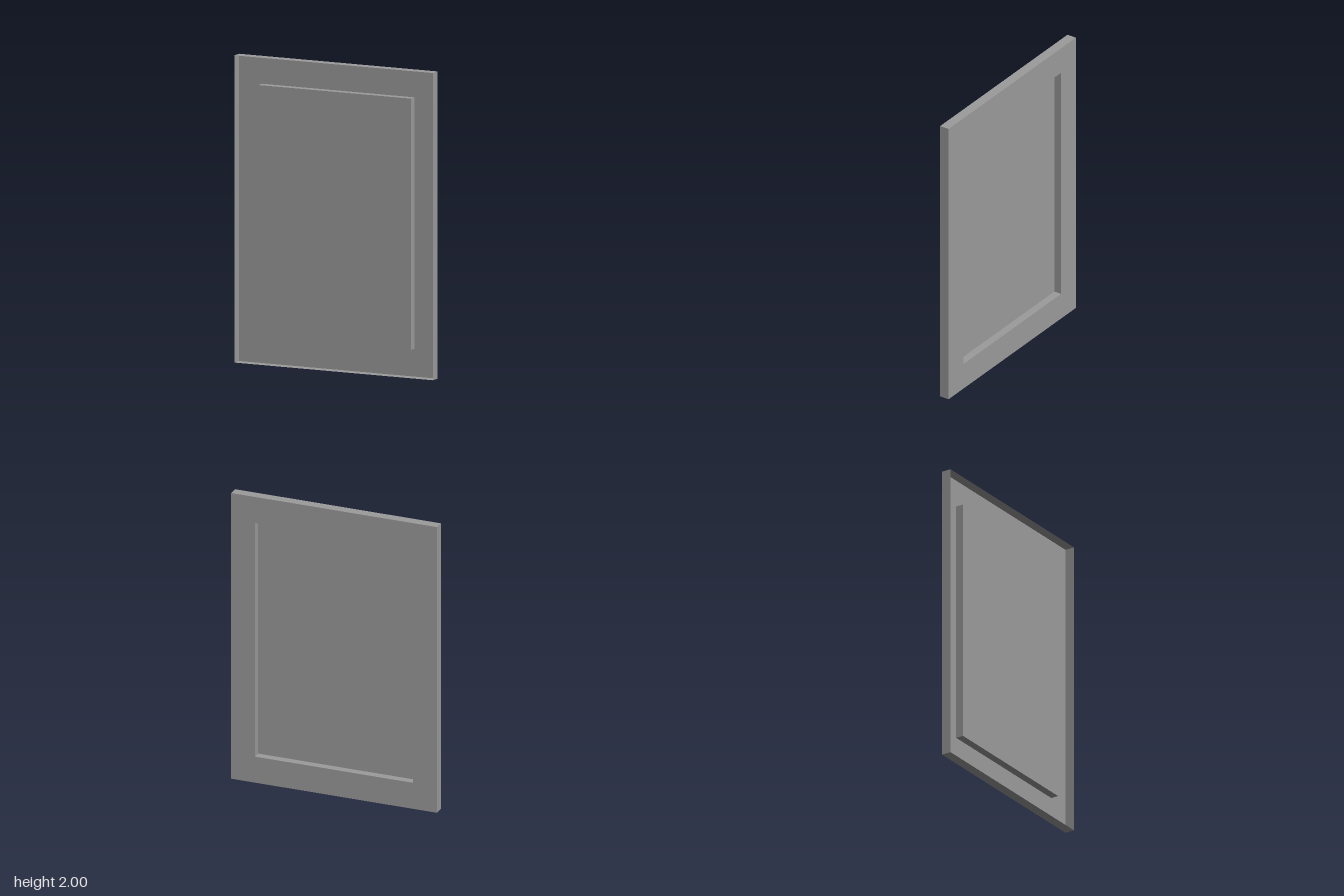
import * as THREE from 'three';

const W = 1.426, H = 2, BACK = -0.033, FRONT = 0.033; // outer sheet
const PW = 1.096, PH = 1.636, PANEL_Z = 0.02;         // raised panel

const material = new THREE.MeshStandardMaterial({
  color: 0x9b9b9b, flatShading: true, side: THREE.DoubleSide,
});

function add(parent, name, geometry, x = 0, y = 0, z = 0) {
  const mesh = new THREE.Mesh(geometry, material);
  mesh.name = name;
  mesh.position.set(x, y, z);
  parent.add(mesh);
  return mesh;
}

// Four thin walls around a rectangle, running from z0 to z1
function wallRing(name, w, h, z0, z1) {
  const ring = new THREE.Group();
  ring.name = name;
  const depth = z1 - z0, z = (z0 + z1) / 2;
  for (const s of [-1, 1]) {
    const side = add(ring, s > 0 ? 'leftWall' : 'rightWall', new THREE.PlaneGeometry(depth, h), s * w / 2, 0, z);
    side.rotation.y = s * Math.PI / 2;
    const cap = add(ring, s > 0 ? 'topWall' : 'bottomWall', new THREE.PlaneGeometry(w, depth), 0, s * h / 2, z);
    cap.rotation.x = -s * Math.PI / 2;
  }
  return ring;
}

function rectPoints(w, h) {
  return [[-1, -1], [1, -1], [1, 1], [-1, 1]].map(([x, y]) => new THREE.Vector2(x * w / 2, y * h / 2));
}

export function createModel() {
  const model = new THREE.Group();
  model.name = 'pressedPanel';
  const body = new THREE.Group();
  body.name = 'panelBody';
  body.position.y = H / 2;
  model.add(body);

  // Flat border at the back, open in the middle
  const border = new THREE.Shape(rectPoints(W, H));
  border.holes.push(new THREE.Path(rectPoints(PW, PH).reverse()));
  add(body, 'backBorder', new THREE.ShapeGeometry(border), 0, 0, BACK);

  // Outer rim folded forward
  body.add(wallRing('outerRim', W, H, BACK, FRONT));

  // Raised centre panel, hollow from behind
  body.add(wallRing('panelStep', PW, PH, BACK, PANEL_Z));
  add(body, 'raisedPanel', new THREE.PlaneGeometry(PW, PH), 0, 0, PANEL_Z);

  return model;
}
